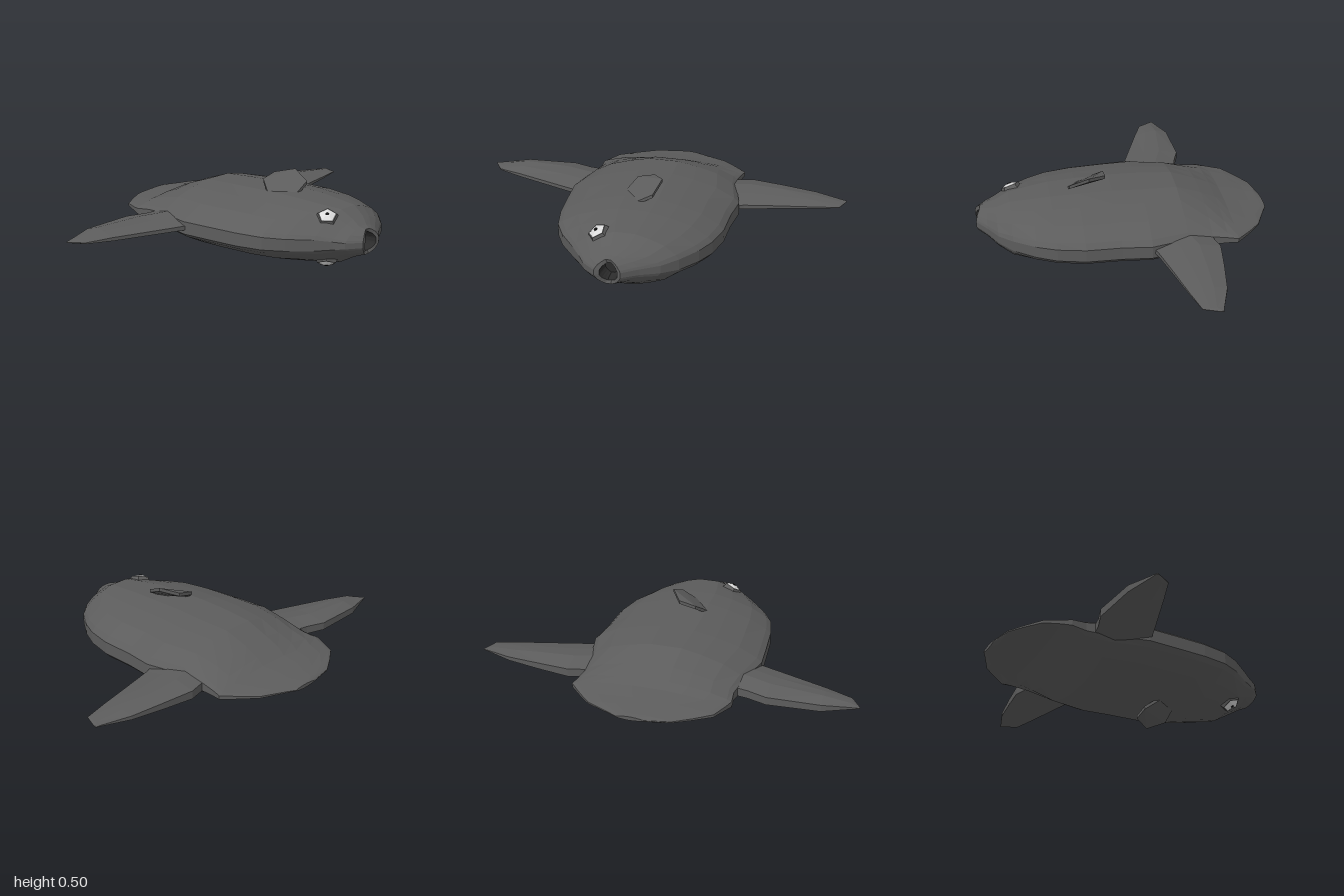
import * as THREE from 'three';
import { ConvexGeometry } from 'three/addons/geometries/ConvexGeometry.js';

const MID = 0.255; // height of the flat fish's plane of symmetry
const V = (x, y, z) => new THREE.Vector3(x, y, z);

// Faceted skin through a list of equal-length rings, with optional end caps
function loft(rings, capStart = true, capEnd = true) {
  const tris = [];
  const n = rings[0].length;
  for (let r = 0; r < rings.length - 1; r++) {
    for (let i = 0; i < n; i++) {
      const j = (i + 1) % n;
      const a = rings[r][i], b = rings[r][j], c = rings[r + 1][j], d = rings[r + 1][i];
      tris.push([a, b, c], [a, c, d]);
    }
  }
  const cap = (ring, flip) => {
    const mid = ring.reduce((s, p) => s.add(p), V(0, 0, 0)).divideScalar(n);
    ring.forEach((p, i) => {
      const q = ring[(i + 1) % n];
      tris.push(flip ? [mid, q, p] : [mid, p, q]);
    });
  };
  if (capStart) cap(rings[0], true);
  if (capEnd) cap(rings[rings.length - 1], false);
  // Turn the faces outward if the enclosed volume comes out negative
  const centre = V(0, MID, 0);
  let volume = 0;
  for (const t of tris) {
    const [a, b, c] = t.map((p) => p.clone().sub(centre));
    volume += a.dot(b.cross(c));
  }
  if (volume < 0) tris.forEach((t) => t.reverse());
  const g = new THREE.BufferGeometry().setFromPoints(tris.flat());
  g.computeVertexNormals();
  return g;
}

// Half of the body section: u across the depth (z), v share of the half thickness
const SECTION = [
  [-1, 0.2], [-0.94, 0.36], [-0.73, 0.66], [-0.45, 0.86], [-0.2, 0.98],
  [0.2, 0.98], [0.45, 0.84], [0.73, 0.62], [0.94, 0.33], [1, 0.2],
];

function bodyRing(x, z0, z1, h, notch = 0) {
  const m = (z0 + z1) / 2, r = (z1 - z0) / 2;
  const point = (u, v) => V(x - notch * (1 - Math.abs(u)), MID + v * h, m + u * r);
  return [
    ...SECTION.map(([u, v]) => point(u, v)),
    ...SECTION.map(([u, v]) => point(u, -v)).reverse(),
  ];
}

// Tall fin lofted along z from stations [z, trailing x, leading x, half thickness]
function finGeometry(stations) {
  return loft(stations.map(([z, x0, x1, h]) => {
    const at = (t, k) => V(x0 + (x1 - x0) * t, MID + k * h, z);
    return [at(0, 0.5), at(0.35, 1), at(0.65, 0.8), at(1, 0.25),
      at(1, -0.25), at(0.65, -0.8), at(0.35, -1), at(0, -0.5)];
  }));
}

function faceted(geometry) {
  const g = geometry.toNonIndexed();
  g.computeVertexNormals();
  return g;
}

export function createModel() {
  const skin = new THREE.MeshStandardMaterial({ color: 0x5c5c5c });
  skin.name = 'grey skin';
  const white = new THREE.MeshStandardMaterial({ color: 0xdcdcdc });
  white.name = 'eye white';
  const black = new THREE.MeshStandardMaterial({ color: 0x101010 });
  black.name = 'pupil black';
  const dark = new THREE.MeshStandardMaterial({ color: 0x2c2c2c, side: THREE.DoubleSide });
  dark.name = 'mouth dark';

  const model = new THREE.Group();
  model.name = 'sunfish';
  const add = (name, geometry, material, parent = model) => {
    const mesh = new THREE.Mesh(geometry, material);
    mesh.name = name;
    parent.add(mesh);
    return mesh;
  };

  // Body from tail edge to lips: [x, upper z, lower z, half thickness]
  const stations = [
    [-0.77, -0.1, 0.04, 0.01], [-0.745, -0.15, 0.17, 0.016], [-0.69, -0.27, 0.26, 0.024],
    [-0.63, -0.335, 0.345, 0.035], [-0.55, -0.41, 0.38, 0.052], [-0.5, -0.4, 0.4, 0.075],
    [-0.42, -0.39, 0.39, 0.11], [-0.29, -0.41, 0.41, 0.155], [-0.1, -0.457, 0.453, 0.163],
    [0.05, -0.442, 0.44, 0.166], [0.23, -0.44, 0.422, 0.166], [0.37, -0.41, 0.39, 0.16],
    [0.47, -0.365, 0.335, 0.15], [0.58, -0.29, 0.245, 0.139], [0.65, -0.215, 0.19, 0.1],
    [0.7, -0.125, 0.155, 0.075],
  ];
  const lips = bodyRing(0.755, -0.045, 0.085, 0.066, 0.03);
  const mouthRim = bodyRing(0.75, -0.03, 0.06, 0.048, 0.03);
  add('body', loft([...stations.map((s) => bodyRing(...s)), lips, mouthRim], true, false), skin);
  add('mouth', loft([mouthRim, bodyRing(0.67, -0.02, 0.05, 0.035)], false, true), dark);

  // Tall fins, rooted inside the body
  add('dorsalFin', finGeometry([
    [-0.36, -0.41, -0.08, 0.045], [-0.48, -0.44, -0.125, 0.043], [-0.65, -0.418, -0.165, 0.034],
    [-0.83, -0.39, -0.205, 0.02], [-0.97, -0.343, -0.24, 0.006], [-1, -0.335, -0.32, 0.003],
  ]), skin);
  add('analFin', finGeometry([
    [0.37, -0.37, -0.06, 0.045], [0.45, -0.385, -0.09, 0.043], [0.55, -0.42, -0.125, 0.041],
    [0.82, -0.41, -0.222, 0.035], [0.95, -0.37, -0.27, 0.012], [1, -0.357, -0.345, 0.003],
  ]), skin);

  // Paired details: side = 1 is the upper flank, -1 the lower one
  const finOutline = [
    [0.27, 0.405, 0], [0.27, 0.45, -0.08], [0.17, 0.495, -0.105],
    [0.08, 0.475, -0.045], [0.08, 0.455, 0.045], [0.15, 0.405, 0.09],
  ];
  for (const side of [1, -1]) {
    const label = side > 0 ? 'left' : 'right';
    const finPoints = finOutline.flatMap(([x, y, z]) => [0, 1].map((k) =>
      V(x, MID + side * (y - MID + (k ? 0.01 : -0.008)), z)));
    add(label + 'PectoralFin', new ConvexGeometry(finPoints), skin);

    // Eye: raised five-sided socket, pale eyeball and small pupil
    const eye = new THREE.Group();
    eye.name = label + 'Eye';
    eye.position.set(0.56, MID + side * 0.11, 0.118);
    eye.quaternion.setFromUnitVectors(V(0, 1, 0), V(0.3, side * 0.85, 0.4).normalize());
    model.add(eye);
    add('eyeSocket', faceted(new THREE.CylinderGeometry(0.049, 0.062, 0.03, 5)), skin, eye);
    add('eyeball', faceted(new THREE.CylinderGeometry(0.018, 0.042, 0.01, 5)), white, eye)
      .position.y = 0.02;
    add('pupil', faceted(new THREE.CylinderGeometry(0.01, 0.01, 0.004, 5)), black, eye)
      .position.y = 0.026;
  }
  return model;
}
